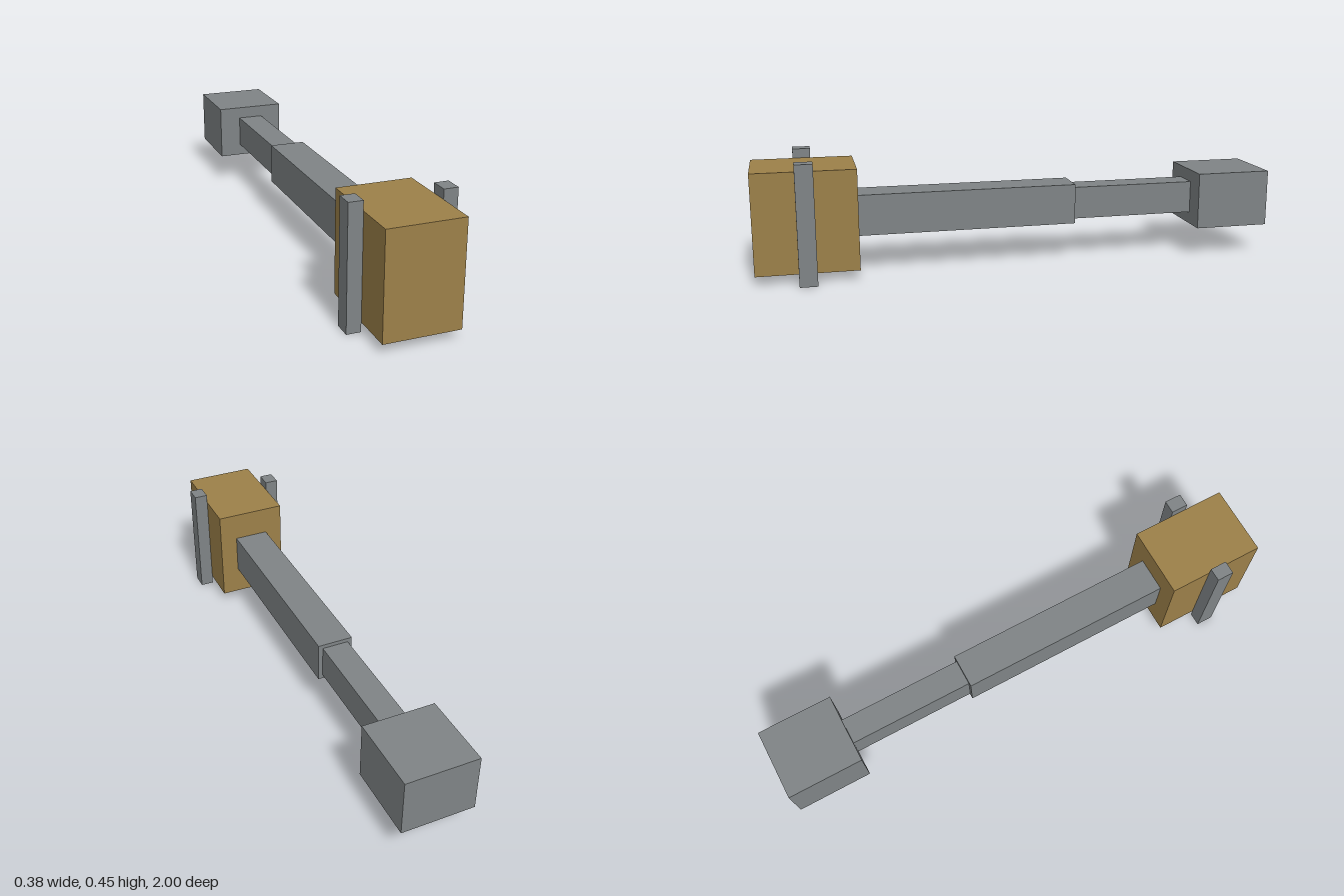
import * as THREE from 'three';

export function createModel() {
  const group = new THREE.Group();
  group.name = 'hammer';

  const steel = new THREE.MeshStandardMaterial({ color: 0x7f8486 });
  steel.name = 'steel grey';
  const brass = new THREE.MeshStandardMaterial({ color: 0x9c8049 });
  brass.name = 'dull gold';

  const midY = 0.225; // height of the long axis

  // Box centred on the long axis, running from z0 to z1
  function addBox(name, material, width, height, z0, z1, x = 0) {
    const mesh = new THREE.Mesh(new THREE.BoxGeometry(width, height, z1 - z0), material);
    mesh.name = name;
    mesh.position.set(x, midY, (z0 + z1) / 2);
    group.add(mesh);
  }

  // Head with a bar on each cheek
  addBox('headBlock', brass, 0.276, 0.38, 0.62, 1);
  addBox('leftSideBar', steel, 0.052, 0.45, 0.777, 0.843, 0.164);
  addBox('rightSideBar', steel, 0.052, 0.45, 0.777, 0.843, -0.164);

  // Stepped shaft and end weight
  addBox('thickShaft', steel, 0.136, 0.155, -0.222, 0.62);
  addBox('thinShaft', steel, 0.102, 0.125, -0.708, -0.222);
  addBox('endBlock', steel, 0.276, 0.219, -1, -0.708);

  return group;
}
